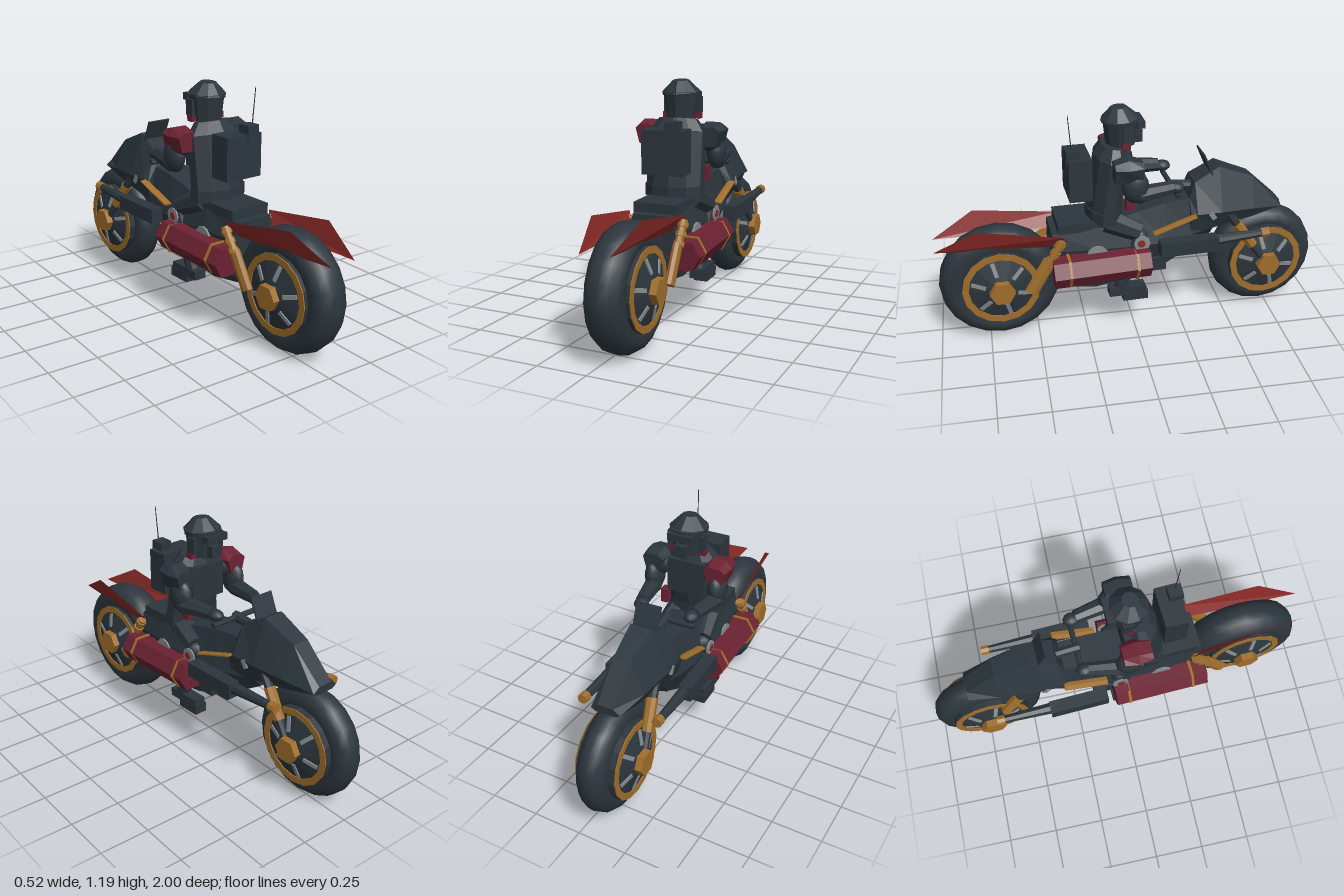
import * as THREE from 'three';

const mat = (name, color) => Object.assign(new THREE.MeshStandardMaterial({ color }), { name });

export function createModel() {
  const dark = mat('slate', 0x2c363d);
  const maroon = mat('maroon', 0x6c2232);
  const red = mat('red', 0x8a2a27);
  red.side = THREE.DoubleSide;
  const gold = mat('gold', 0xa06e2b);
  const grey = mat('grey', 0x858b8e);

  const model = new THREE.Group();
  const bike = new THREE.Group();
  bike.name = 'motorcycle';
  const rider = new THREE.Group();
  rider.name = 'rider';
  model.add(bike, rider);
  model.rotation.y = 0.05;

  const V = (p) => new THREE.Vector3(...p);
  const faceted = (g) => {
    const out = g.index ? g.toNonIndexed() : g;
    out.computeVertexNormals();
    return out;
  };
  const add = (parent, name, geo, material, pos = [0, 0, 0], rot = [0, 0, 0]) => {
    const m = new THREE.Mesh(geo, material);
    m.name = name;
    m.position.set(...pos);
    m.rotation.set(...rot);
    parent.add(m);
    return m;
  };
  const box = (parent, name, size, pos, material = dark, rot) =>
    add(parent, name, new THREE.BoxGeometry(...size), material, pos, rot);
  // Tapered rod from a to b
  const limb = (parent, name, a, b, ra, rb, material = dark, sides = 8) => {
    const d = V(b).sub(V(a));
    const m = add(parent, name, faceted(new THREE.CylinderGeometry(rb, ra, d.length(), sides)), material);
    m.position.copy(V(a).add(V(b)).multiplyScalar(0.5));
    m.quaternion.setFromUnitVectors(new THREE.Vector3(0, 1, 0), d.normalize());
    return m;
  };
  const ball = (parent, name, r, pos, scale = [1, 1, 1]) => {
    const m = add(parent, name, new THREE.SphereGeometry(r, 10, 8), dark, pos);
    m.scale.set(...scale);
    return m;
  };
  // Six-sided hull through sections [z, yLow, yMid, yHigh, wLow, wMid, wHigh]
  const hull = (parent, name, sections, material = dark) => {
    const pos = [], idx = [], last = (sections.length - 1) * 6;
    for (const [z, y0, ym, y1, w0, wm, w1] of sections)
      pos.push(w0, y0, z, wm, ym, z, w1, y1, z, -w1, y1, z, -wm, ym, z, -w0, y0, z);
    for (let s = 0; s < last; s += 6)
      for (let j = 0; j < 6; j++) {
        const a = s + j, b = s + (j + 1) % 6;
        idx.push(a, b, b + 6, a, b + 6, a + 6);
      }
    for (let j = 1; j < 5; j++) idx.push(0, j + 1, j, last, last + j, last + j + 1);
    const g = new THREE.BufferGeometry();
    g.setAttribute('position', new THREE.Float32BufferAttribute(pos, 3));
    g.setIndex(idx);
    return add(parent, name, faceted(g), material);
  };
  const lathe = (pts, n) => new THREE.LatheGeometry(pts.map((p) => new THREE.Vector2(...p)), n).rotateZ(Math.PI / 2);

  // Wheels: tyre half width w, domed centre drum, thin rim plates and hubs
  const rim = faceted(lathe([[0.164, -0.003], [0.197, -0.003], [0.197, 0.003], [0.164, 0.003], [0.164, -0.003]], 16));
  const hub = faceted(new THREE.CylinderGeometry(0.064, 0.064, 0.04, 6).rotateZ(Math.PI / 2));
  const drum = faceted(lathe([[0, -0.13], [0.06, -0.13], [0.163, -0.1], [0.198, -0.1],
    [0.198, 0.1], [0.163, 0.1], [0.06, 0.13], [0, 0.13]], 16));
  const wheel = (name, R, w, y, z) => {
    const g = new THREE.Group();
    g.name = name;
    g.position.set(0, y, z);
    bike.add(g);
    const half = [[0.19, w * 0.85], [R - 0.07, w], [R - 0.03, w * 0.82], [R - 0.007, w * 0.45]];
    const prof = [...half.map(([r, x]) => [r, -x]), [R, 0], ...half.slice().reverse()];
    add(g, 'tyre', lathe(prof, 20), dark);
    add(g, 'drum', drum, dark);
    for (const s of [-1, 1]) {
      add(g, 'rim', rim, gold, [s * 0.103, 0, 0]);
      add(g, 'hub', hub, gold, [s * 0.145, 0, 0]);
      for (let k = 0; k < 6; k++) {
        const spoke = new THREE.Group();
        spoke.name = 'spoke';
        spoke.rotation.x = k * Math.PI / 3 + 0.25;
        g.add(spoke);
        box(spoke, 'spokeBar', [0.008, 0.075, 0.02], [s * 0.115, 0.118, 0], grey, [0, 0, s * 0.28]);
      }
    }
  };
  wheel('rearWheel', 0.305, 0.094, 0.31, 0.685);
  wheel('frontWheel', 0.285, 0.076, 0.29, -0.715);

  // Fairing and main body
  hull(bike, 'fairing', [
    [-0.79, 0.575, 0.59, 0.615, 0.05, 0.075, 0.04],
    [-0.63, 0.55, 0.61, 0.765, 0.08, 0.11, 0.045],
    [-0.45, 0.52, 0.62, 0.84, 0.09, 0.135, 0.055],
    [-0.32, 0.5, 0.62, 0.77, 0.1, 0.135, 0.065],
    [-0.29, 0.48, 0.6, 0.69, 0.1, 0.13, 0.075]]);
  hull(bike, 'body', [
    [-0.42, 0.46, 0.51, 0.6, 0.04, 0.08, 0.06],
    [-0.3, 0.39, 0.5, 0.69, 0.06, 0.115, 0.075],
    [-0.16, 0.32, 0.48, 0.68, 0.075, 0.13, 0.08],
    [-0.02, 0.27, 0.48, 0.65, 0.08, 0.135, 0.085],
    [0.2, 0.23, 0.49, 0.6, 0.07, 0.14, 0.11],
    [0.42, 0.26, 0.49, 0.58, 0.06, 0.12, 0.1]]);
  box(bike, 'seat', [0.22, 0.05, 0.36], [0, 0.605, 0.21]);
  box(bike, 'windscreen', [0.13, 0.13, 0.008], [0, 0.855, -0.39], dark, [0.4, 0, 0]);
  limb(bike, 'handlebar', [-0.16, 0.745, -0.21], [0.16, 0.745, -0.21], 0.014, 0.014);
  limb(bike, 'steeringStem', [0, 0.745, -0.19], [0, 0.73, -0.33], 0.025, 0.025);

  const hex = (r, len) => faceted(new THREE.CylinderGeometry(r, r, len, 6).rotateY(Math.PI / 6).rotateX(Math.PI / 2));
  for (const s of [-1, 1]) {
    // Tail fins, leaning outward
    const fin = new THREE.BufferGeometry();
    fin.setAttribute('position', new THREE.Float32BufferAttribute([
      s * 0.07, 0.535, 1.0, s * 0.12, 0.65, 0.79, s * 0.145, 0.58, 0.36, s * 0.1, 0.515, 0.41], 3));
    fin.setIndex([0, 1, 2, 0, 2, 3]);
    add(bike, 'tailFin', faceted(fin), red);

    // Side pods with gold straps
    add(bike, 'sidePod', hex(0.08, 0.49), maroon, [s * 0.164, 0.405, 0.185], [0.02, 0, 0]);
    for (const z of [0.01, 0.35]) add(bike, 'podStrap', hex(0.084, 0.014), gold, [s * 0.164, 0.405, z]);
    box(bike, 'lowerRail', [0.05, 0.07, 0.6], [s * 0.1, 0.355, 0.14]);

    // Side guns
    box(bike, 'gunBody', [0.065, 0.075, 0.3], [s * 0.2, 0.492, -0.255]);
    limb(bike, 'gunBarrel', [s * 0.195, 0.5, -0.38], [s * 0.195, 0.512, -0.65], 0.03, 0.02);
    limb(bike, 'gunMuzzle', [s * 0.195, 0.512, -0.64], [s * 0.195, 0.514, -0.68], 0.025, 0.025, gold);

    // Suspension
    limb(bike, 'frontFork', [s * 0.092, 0.6, -0.49], [s * 0.13, 0.3, -0.7], 0.026, 0.02);
    limb(bike, 'forkSleeve', [s * 0.1, 0.53, -0.54], [s * 0.117, 0.4, -0.63], 0.03, 0.028, gold);
    limb(bike, 'rearSpring', [s * 0.145, 0.56, 0.375], [s * 0.14, 0.44, 0.45], 0.02, 0.02, gold);
    for (let k = 0; k < 3; k++) {
      const y = 0.55 - k * 0.04, z = 0.382 + k * 0.025;
      limb(bike, 'springCoil', [s * 0.145, y, z], [s * 0.144, y - 0.02, z + 0.012], 0.027, 0.027, gold);
    }
    const shock = limb(bike, 'rearShock', [s * 0.14, 0.46, 0.44], [s * 0.14, 0.29, 0.54], 0.036, 0.036, gold);
    shock.scale.x = 0.6;
    const blade = limb(bike, 'sideBlade', [s * 0.14, 0.545, -0.09], [s * 0.14, 0.62, -0.31], 0.006, 0.006, gold, 6);
    blade.scale.x = 4;
    add(bike, 'engineCover', faceted(new THREE.CylinderGeometry(0.055, 0.055, 0.03, 12).rotateZ(Math.PI / 2)), grey, [s * 0.13, 0.455, 0.2]);
    box(bike, 'sideLamp', [0.008, 0.045, 0.025], [s * 0.132, 0.605, -0.4], grey, [0.6, 0, 0]);

    // Rider's legs and boots
    limb(rider, 'thigh', [s * 0.075, 0.62, 0.14], [s * 0.11, 0.55, -0.02], 0.07, 0.05);
    ball(rider, 'knee', 0.046, [s * 0.11, 0.525, -0.02]);
    const plate = (r, w) => new THREE.CylinderGeometry(r, r, w, 10).rotateZ(Math.PI / 2);
    add(rider, 'kneePlate', plate(0.042, 0.008), grey, [s * 0.157, 0.507, -0.025]);
    add(rider, 'kneeStud', plate(0.02, 0.008), red, [s * 0.161, 0.507, -0.02]);
    limb(rider, 'shin', [s * 0.115, 0.52, -0.02], [s * 0.11, 0.24, 0.08], 0.045, 0.035);
    box(rider, 'boot', [0.065, 0.045, 0.19], [s * 0.11, 0.225, 0.045]);
    box(rider, 'bootToe', [0.07, 0.05, 0.13], [s * 0.11, 0.195, 0.005]);

    // Rider's arms
    ball(rider, 'shoulder', 0.065, [s * 0.15, 0.9, 0.05]);
    const pad = s < 0 ? maroon : dark;
    hull(rider, 'shoulderPad', [
      [-0.02, 0.87, 0.945, 0.965, 0.035, 0.055, 0.03],
      [0.05, 0.86, 0.945, 0.985, 0.035, 0.067, 0.035],
      [0.12, 0.87, 0.945, 0.965, 0.035, 0.055, 0.03]], pad).position.x = s * 0.166;
    ball(rider, 'upperArm', 0.06, [s * 0.172, 0.835, 0.015], [0.8, 1.45, 1.15]);
    limb(rider, 'forearm', [s * 0.17, 0.79, -0.01], [s * 0.14, 0.795, -0.18], 0.045, 0.034);
    ball(rider, 'elbow', 0.045, [s * 0.17, 0.79, -0.01]);
    ball(rider, 'hand', 0.036, [s * 0.135, 0.79, -0.2], [1, 0.8, 1.2]);

    // Helmet sides
    box(rider, 'earPiece', [0.02, 0.08, 0.05], [s * 0.085, 1.065, 0.03]);
    box(rider, 'cheekTrim', [0.035, 0.03, 0.04], [s * 0.08, 1.012, 0.04], maroon);
  }

  // Rider's torso
  const torso = limb(rider, 'torso', [0, 0.66, 0.14], [0, 0.94, 0.1], 0.15, 0.147, dark, 10);
  torso.scale.z = 0.6;
  const chest = limb(rider, 'upperChest', [0, 0.94, 0.1], [0, 1.0, 0.09], 0.147, 0.1, dark, 10);
  chest.scale.z = 0.6;
  const belt = limb(rider, 'belt', [0, 0.62, 0.14], [0, 0.68, 0.14], 0.155, 0.155, dark, 10);
  belt.scale.z = 0.62;
  box(rider, 'chestPlate', [0.2, 0.18, 0.04], [0, 0.86, 0.03]);
  box(rider, 'pouch', [0.035, 0.075, 0.045], [0.12, 0.725, 0.03], maroon);

  // Head and helmet
  limb(rider, 'neck', [0, 0.96, 0.08], [0, 1.04, 0.06], 0.05, 0.05);
  limb(rider, 'head', [0, 1.0, 0.05], [0, 1.12, 0.05], 0.075, 0.088, dark, 10);
  limb(rider, 'helmetBrim', [0, 1.11, 0.05], [0, 1.13, 0.05], 0.094, 0.096, dark, 10);
  limb(rider, 'helmetCrown', [0, 1.13, 0.055], [0, 1.185, 0.06], 0.095, 0.04, dark, 10);
  box(rider, 'goggles', [0.13, 0.035, 0.04], [0, 1.105, -0.04]);
  box(rider, 'mask', [0.06, 0.06, 0.04], [0, 1.035, -0.035]);

  // Backpack radio
  box(rider, 'backpack', [0.21, 0.215, 0.115], [0.01, 0.86, 0.27]);
  box(rider, 'radio', [0.065, 0.07, 0.07], [0.06, 0.975, 0.3]);
  limb(rider, 'antenna', [0.075, 1.0, 0.305], [0.08, 1.19, 0.32], 0.003, 0.002, dark, 5);

  return model;
}
